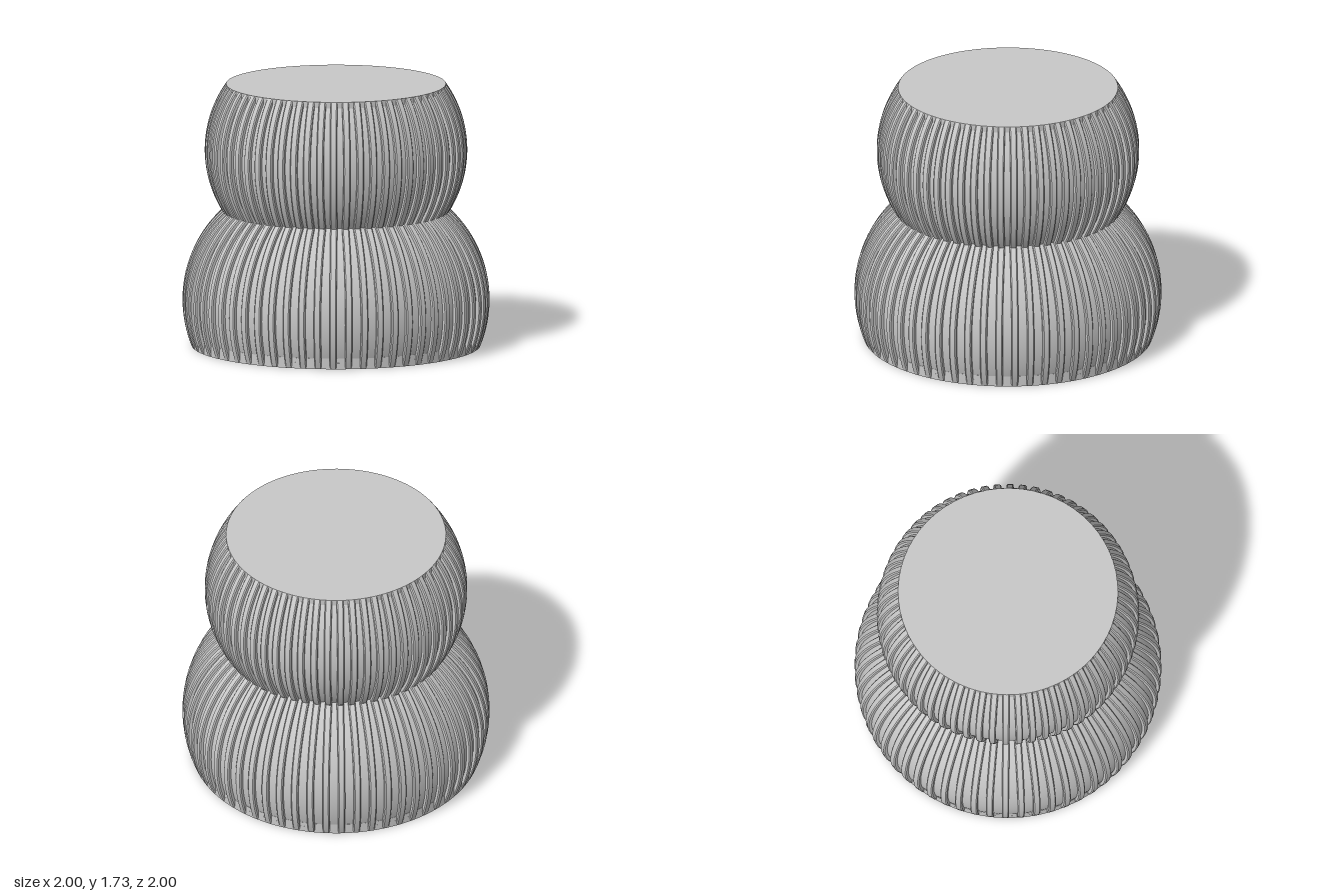
import * as THREE from 'three';
import { mergeGeometries, toCreasedNormals } from 'three/addons/utils/BufferGeometryUtils.js';

const HEIGHT = 1.725, NECK = 0.89, RIBS = 60, RIB_WIDTH = 0.046, RIB_DEPTH = 0.025;
const ROWS = 24;

// Each bulge is a circular arc revolved about the y axis
const bulges = [
  { name: 'lower', cx: 0.2, cy: 0.3, R: 0.8, y0: 0, y1: NECK },
  { name: 'upper', cx: 0.105, cy: 1.29, R: 0.75, y0: NECK, y1: HEIGHT },
];

// Radius of a bulge at height y, set in by d along the arc's normal
const radiusAt = (b, y, d) => b.cx + Math.sqrt((b.R - d) ** 2 - (y - b.cy) ** 2);
const rowY = (b, j) => b.y0 + (b.y1 - b.y0) * j / ROWS;

function bodyGeometry(b) {
  const pts = [];
  for (let j = 0; j <= ROWS; j++) {
    const y = rowY(b, j);
    pts.push(new THREE.Vector2(radiusAt(b, y, RIB_DEPTH), y));
  }
  return new THREE.LatheGeometry(pts, 120);
}

// One rib: a chamfered section swept up the arc
function ribGeometry(b) {
  const h = RIB_WIDTH / 2, c = 0.007;
  const section = [[-h, 0.05], [-h, c], [-h + c, 0], [h - c, 0], [h, c], [h, 0.05]];
  const n = section.length, pos = [], index = [];
  for (let j = 0; j <= ROWS; j++) {
    const y = rowY(b, j);
    for (const [z, d] of section) pos.push(radiusAt(b, y, d), y, z);
  }
  for (let j = 0; j < ROWS; j++) {
    for (let i = 0; i < n - 1; i++) {
      const a = j * n + i;
      index.push(a, a + n, a + 1, a + 1, a + n, a + n + 1);
    }
  }
  const g = new THREE.BufferGeometry();
  g.setAttribute('position', new THREE.Float32BufferAttribute(pos, 3));
  g.setIndex(index);
  return toCreasedNormals(g, 0.6);
}

function ribRing(b) {
  const rib = ribGeometry(b), all = [];
  for (let k = 0; k < RIBS; k++) all.push(rib.clone().rotateY(k * 2 * Math.PI / RIBS));
  return mergeGeometries(all);
}

// Base ring whose opening has four inward locking tabs
function baseRingGeometry(radius, depth) {
  const shape = new THREE.Shape().absarc(0, 0, radius, 0, Math.PI * 2, false);
  const pts = [], rad = THREE.MathUtils.degToRad;
  const arc = (r, from, to) => {
    for (let i = 0; i <= 12; i++) {
      const a = rad(from + (to - from) * i / 12);
      pts.push(new THREE.Vector2(r * Math.cos(a), r * Math.sin(a)));
    }
  };
  for (let k = 0; k < 4; k++) {
    const mid = 19 + 90 * k;
    arc(0.505, mid - 16.5, mid + 16.5);
    arc(0.555, mid + 16.5, mid + 73.5);
  }
  shape.holes.push(new THREE.Path(pts.reverse()));
  const g = new THREE.ExtrudeGeometry(shape, { depth, bevelEnabled: false, curveSegments: 120 });
  g.rotateX(Math.PI / 2).translate(0, depth, 0);
  return toCreasedNormals(g, 0.5);
}

export function createModel() {
  const model = new THREE.Group();
  const grey = new THREE.MeshStandardMaterial({ color: 0xc8c8c8 });
  grey.name = 'light grey';
  const add = (name, geometry, y = 0) => {
    const m = new THREE.Mesh(geometry, grey);
    m.name = name;
    m.position.y = y;
    model.add(m);
  };

  // Ribbed bulges
  for (const b of bulges) {
    add(b.name + 'Body', bodyGeometry(b));
    add(b.name + 'Ribs', ribRing(b));
  }

  // Flat lid flush with the rib ends
  const topR = radiusAt(bulges[1], HEIGHT, 0);
  add('topCap', new THREE.CylinderGeometry(topR, topR, 0.04, 120), HEIGHT - 0.02);

  // Base with its shallow locking recess
  const baseR = radiusAt(bulges[0], 0, 0);
  add('baseRing', baseRingGeometry(baseR, 0.04));
  add('basePlate', new THREE.CylinderGeometry(baseR, baseR, 0.03, 120), 0.055);
  return model;
}
